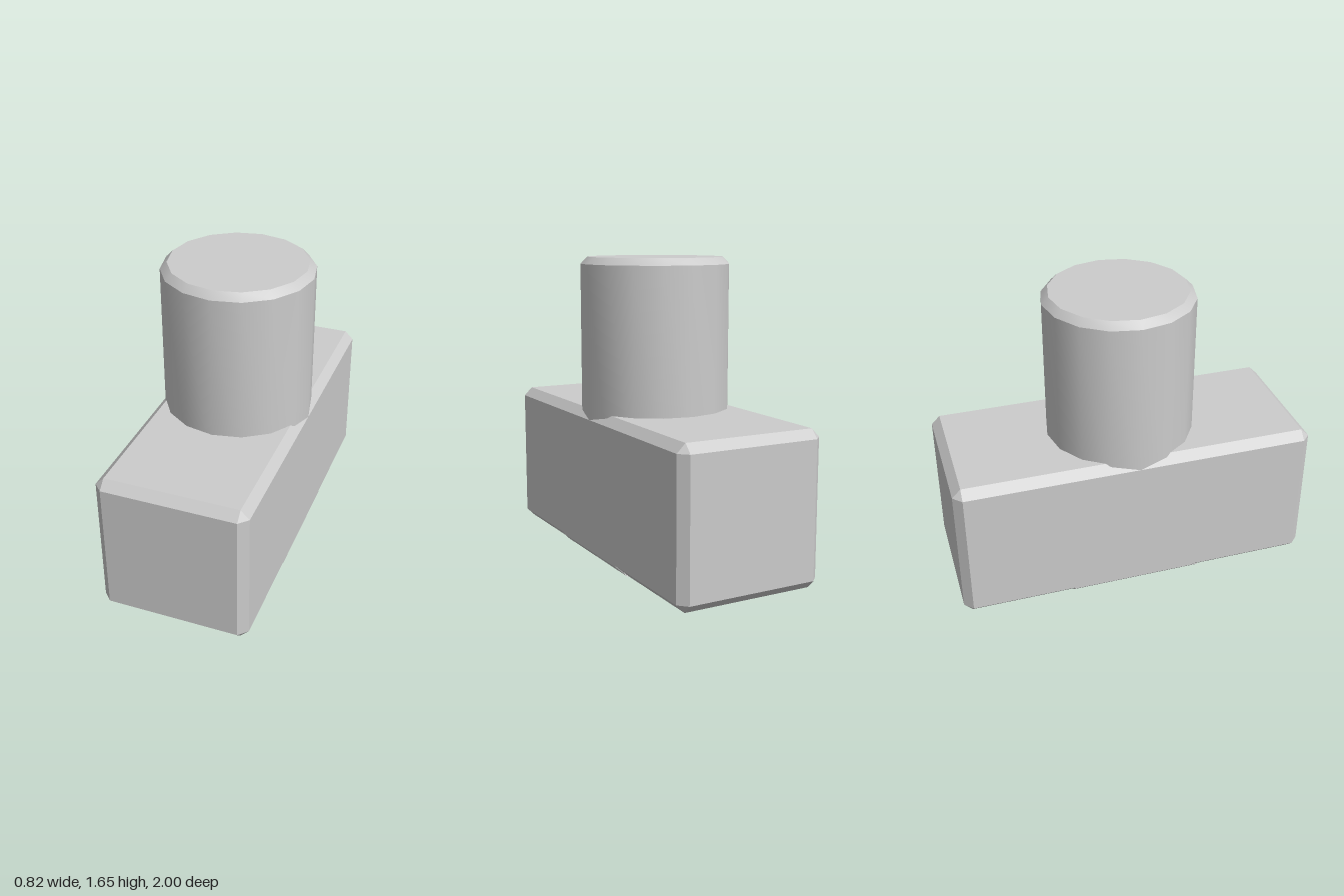
import * as THREE from 'three';
import { toCreasedNormals } from 'three/addons/utils/BufferGeometryUtils.js';
import { ConvexGeometry } from 'three/addons/geometries/ConvexGeometry.js';

const W = 0.41, H = 0.827, D = 1, C = 0.047;

// Box with chamfered edges and triangular corners
function chamferedBox(hx, hy, hz, c) {
  const points = [];
  for (const x of [-1, 1]) for (const y of [-1, 1]) for (const z of [-1, 1]) {
    points.push(
      new THREE.Vector3(x * hx, y * (hy - c), z * (hz - c)),
      new THREE.Vector3(x * (hx - c), y * hy, z * (hz - c)),
      new THREE.Vector3(x * (hx - c), y * (hy - c), z * hz)
    );
  }
  return new ConvexGeometry(points);
}

// Shallow raised strip along a lower edge, tapered at one end
function edgeStrip() {
  const c = 0.039;
  const points = [];
  for (const [z, inner] of [[0.38, 0.38], [-0.31, -0.37]]) {
    points.push(
      new THREE.Vector3(W, c, z),
      new THREE.Vector3(W - c, 0, inner),
      new THREE.Vector3(W, 0.06, z),
      new THREE.Vector3(W - 0.06, 0, inner)
    );
  }
  return new ConvexGeometry(points);
}

export function createModel() {
  const group = new THREE.Group();
  const material = new THREE.MeshStandardMaterial({ color: 0xcccccc });
  const add = (name, geometry) => {
    const mesh = new THREE.Mesh(geometry, material);
    mesh.name = name;
    group.add(mesh);
    return mesh;
  };

  add('base', chamferedBox(W, H / 2, D, C)).position.y = H / 2;

  // Upright sixteen-sided post with a chamfered rim
  const profile = [[0, 0.6], [W, 0.6], [W, 1.617], [0.373, 1.655], [0, 1.655]];
  const post = new THREE.LatheGeometry(profile.map(([x, y]) => new THREE.Vector2(x, y)), 16);
  add('post', toCreasedNormals(post, 0.6));

  // Lower edge strips, one per side
  for (const [name, turn] of [['leftEdgeStrip', 0], ['rightEdgeStrip', Math.PI]]) {
    add(name, edgeStrip()).rotation.y = turn;
  }
  return group;
}
